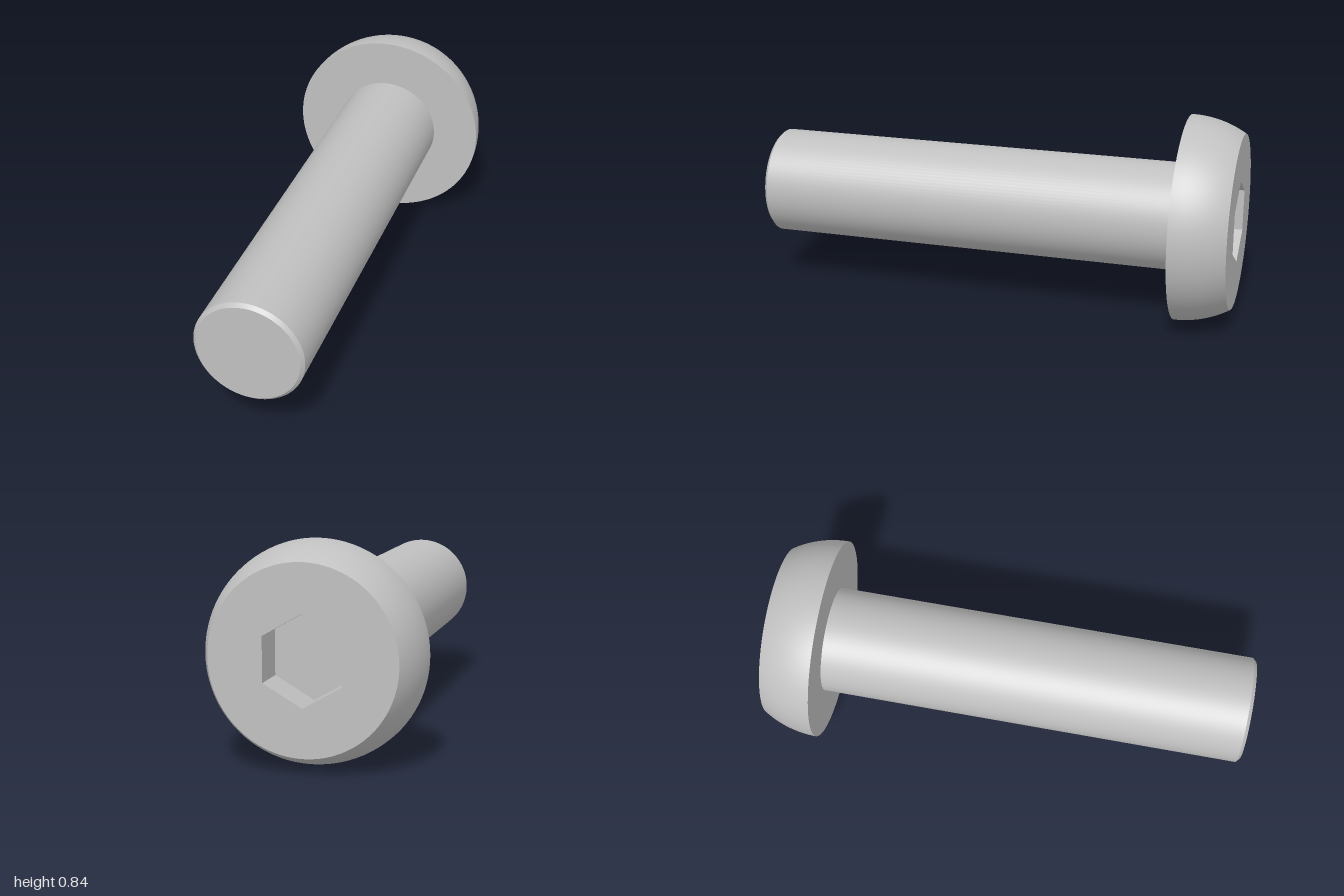
import * as THREE from 'three';

const SEG = 96;
const HEAD_R = 0.422, SHANK_R = 0.222, TIP_R = 0.208;
const BACK = -1, SEAT = -0.778, TIP = 1, CHAMFER = 0.014;
const HEX_R = 0.173, HEX_DEPTH = 0.15;

export function createModel() {
  const model = new THREE.Group();
  model.name = 'socketScrew';
  const steel = new THREE.MeshStandardMaterial({ color: 0xc0c0c0 });
  steel.name = 'steel grey';

  const add = (parent, name, geometry) => {
    const mesh = new THREE.Mesh(geometry, steel);
    mesh.name = name;
    parent.add(mesh);
  };
  const addGroup = (name) => {
    const group = new THREE.Group();
    group.name = name;
    group.position.y = HEAD_R;
    model.add(group);
    return group;
  };
  // Surface of revolution about z, from [radius, z] pairs running forward
  const revolve = (points) =>
    new THREE.LatheGeometry(points.map(([r, z]) => new THREE.Vector2(r, z)), SEG).rotateX(Math.PI / 2);

  // Head: spherical side, flat underside
  const head = addGroup('head');
  const dome = [];
  for (let i = 0; i <= 16; i++) {
    const z = BACK + ((SEAT - BACK) * i) / 16;
    dome.push([Math.sqrt(HEAD_R ** 2 - (z - SEAT) ** 2), z]);
  }
  add(head, 'headDome', revolve(dome));
  add(head, 'headUnderside', revolve([[HEAD_R, SEAT], [SHANK_R, SEAT]]));

  // Flat head face with a hexagonal opening
  const face = new THREE.Shape().absarc(0, 0, dome[0][0], 0, Math.PI * 2, false);
  const hex = [];
  for (let i = 0; i < 6; i++) {
    const a = Math.PI / 2 - (i * Math.PI) / 3;
    hex.push(new THREE.Vector2(HEX_R * Math.cos(a), HEX_R * Math.sin(a)));
  }
  face.holes.push(new THREE.Path(hex).closePath());
  add(head, 'headFace', new THREE.ShapeGeometry(face, SEG).rotateY(Math.PI).translate(0, 0, BACK));

  // Hex socket: inward-facing flat walls and a floor
  const walls = new THREE.CylinderGeometry(HEX_R, HEX_R, HEX_DEPTH, 6, 1, true)
    .rotateX(Math.PI / 2)
    .scale(-1, 1, 1)
    .translate(0, 0, BACK + HEX_DEPTH / 2)
    .toNonIndexed();
  walls.computeVertexNormals();
  add(head, 'socketWalls', walls);
  add(head, 'socketFloor',
    new THREE.CircleGeometry(HEX_R, 6, Math.PI / 2).rotateY(Math.PI).translate(0, 0, BACK + HEX_DEPTH));

  // Shank with a small chamfer at the tip
  const shank = addGroup('shank');
  add(shank, 'shankBody', revolve([[SHANK_R, SEAT], [SHANK_R, TIP - CHAMFER]]));
  add(shank, 'tipChamfer', revolve([[SHANK_R, TIP - CHAMFER], [TIP_R, TIP]]));
  add(shank, 'tipFace', new THREE.CircleGeometry(TIP_R, SEG).translate(0, 0, TIP));

  return model;
}
